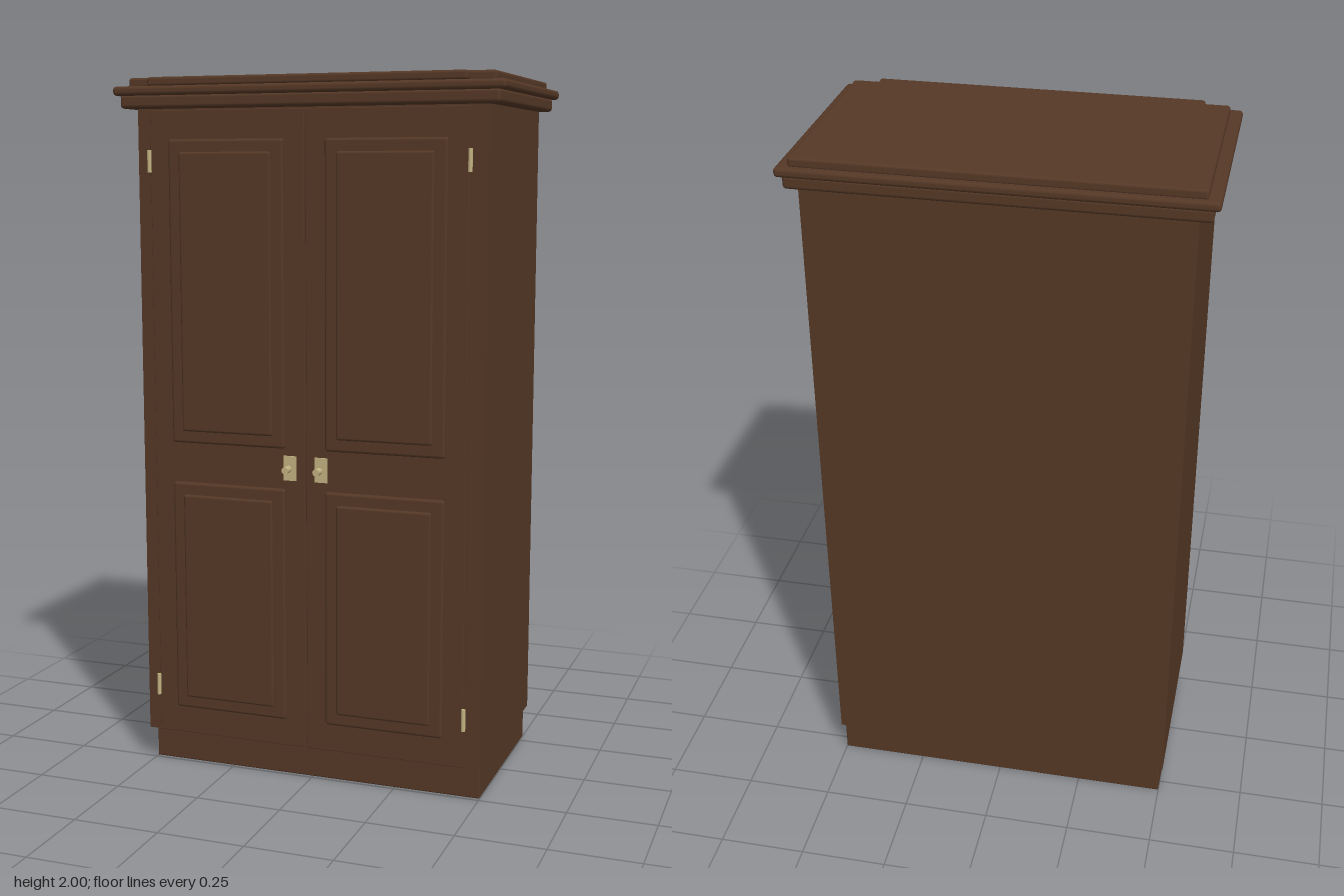
import * as THREE from 'three';
import { RoundedBoxGeometry } from 'three/addons/geometries/RoundedBoxGeometry.js';

const wood = new THREE.MeshStandardMaterial({ color: 0x553826 });
wood.name = 'walnut wood';
const brass = new THREE.MeshStandardMaterial({ color: 0xc4b482 });
brass.name = 'pale brass';

// Box given by its min/max extents; r rounds the edges.
function block(parent, name, [x0, x1], [y0, y1], [z0, z1], r = 0, material = wood) {
  const w = x1 - x0, h = y1 - y0, d = z1 - z0;
  const geometry = r ? new RoundedBoxGeometry(w, h, d, 2, r) : new THREE.BoxGeometry(w, h, d);
  const mesh = new THREE.Mesh(geometry, material);
  mesh.name = name;
  mesh.position.set((x0 + x1) / 2, (y0 + y1) / 2, (z0 + z1) / 2);
  parent.add(mesh);
  return mesh;
}

function rod(parent, name, radius, length, x, y, z, alongZ) {
  const mesh = new THREE.Mesh(new THREE.CylinderGeometry(radius, radius, length, 16), brass);
  mesh.name = name;
  mesh.position.set(x, y, z);
  if (alongZ) mesh.rotation.x = Math.PI / 2;
  parent.add(mesh);
}

// Door with two stepped raised panels, hinges and a knob; side is +1 or -1.
function door(side) {
  const group = new THREE.Group();
  group.name = side > 0 ? 'leftDoor' : 'rightDoor';
  const span = (a, b) => (side > 0 ? [a, b] : [-b, -a]);

  block(group, 'doorLeaf', span(0.002, 0.463), [0.105, 1.91], [0.265, 0.29], 0.002);

  for (const [y0, y1] of [[0.185, 0.86], [0.975, 1.83]]) {
    block(group, 'panelMoulding', span(0.06, 0.405), [y0, y1], [0.275, 0.301], 0.008);
    block(group, 'raisedPanel', span(0.095, 0.37), [y0 + 0.035, y1 - 0.035], [0.28, 0.309], 0.007);
  }

  block(group, 'handlePlate', span(0.028, 0.065), [0.885, 0.955], [0.288, 0.294], 0, brass);
  rod(group, 'handleStem', 0.004, 0.02, side * 0.046, 0.92, 0.301, true);
  rod(group, 'handleKnob', 0.01, 0.027, side * 0.046, 0.92, 0.3195, true);

  for (const y of [0.245, 1.77]) rod(group, 'hinge', 0.006, 0.062, side * 0.465, y, 0.294, false);
  return group;
}

export function createModel() {
  const model = new THREE.Group();
  model.name = 'wardrobe';

  // Base and carcass
  block(model, 'plinth', [-0.5, 0.5], [0, 0.1], [-0.29, 0.24], 0.004);
  block(model, 'carcass', [-0.51, 0.51], [0.098, 1.925], [-0.3, 0.27]);

  model.add(door(1), door(-1));

  // Stepped cornice
  const cornice = new THREE.Group();
  cornice.name = 'cornice';
  block(cornice, 'lowerMoulding', [-0.546, 0.546], [1.915, 1.953], [-0.32, 0.31], 0.01);
  block(cornice, 'middleMoulding', [-0.563, 0.563], [1.95, 1.976], [-0.333, 0.322], 0.01);
  block(cornice, 'topSlab', [-0.53, 0.53], [1.972, 2], [-0.315, 0.285], 0.008);
  block(cornice, 'frontCrest', [-0.46, 0.46], [1.974, 2], [0.278, 0.314], 0.008);
  model.add(cornice);

  return model;
}
